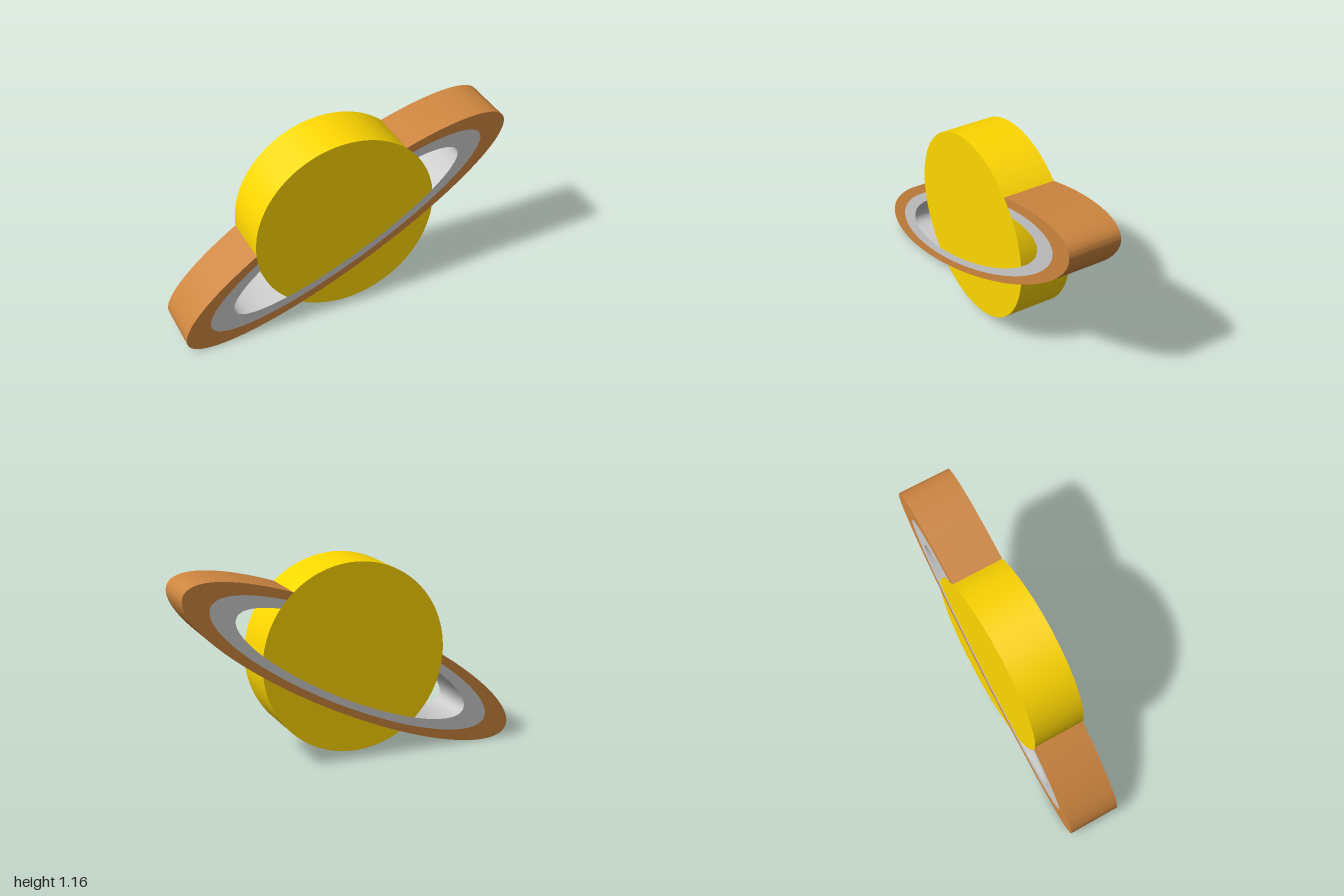
import * as THREE from 'three';
import { toCreasedNormals } from 'three/addons/utils/BufferGeometryUtils.js';

const DEPTH = 0.314;
const DISC = { y: 0.605, r: 0.555 };
const RING = { y: 0.5585, a: 1.11, b: 0.281, tilt: 0.466 };
const OUTER = 1, MIDDLE = 0.85, INNER = 0.705; // scales of the three ring ellipses
const HALF = Math.PI / 2;

// Point on a tilted ring ellipse of scale k
function ringPoint(k, t) {
  return new THREE.Vector2(k * RING.a * Math.cos(t), k * RING.b * Math.sin(t))
    .rotateAround(new THREE.Vector2(), RING.tilt)
    .add(new THREE.Vector2(0, RING.y));
}

// Ellipse angle where the ring crosses the disc edge, in quadrant q (0 to 3)
function crossing(k, q) {
  let [inside, outside] = q % 2 ? [q, q + 1] : [q + 1, q];
  for (let i = 0; i < 40; i++) {
    const m = (inside + outside) / 2;
    const p = ringPoint(k, m * HALF);
    if (Math.hypot(p.x, p.y - DISC.y) < DISC.r) inside = m;
    else outside = m;
  }
  return inside * HALF;
}

// Arcs leave out their last point, so that they chain into closed outlines
function ringArc(k, t0, t1, n) {
  return Array.from({ length: n }, (_, i) => ringPoint(k, t0 + (t1 - t0) * i / n));
}

function discArc(p, q, n, ccw) {
  const angle = (v) => Math.atan2(v.y - DISC.y, v.x);
  const a0 = angle(p);
  let d = angle(q) - a0;
  if (ccw && d < 0) d += 2 * Math.PI;
  if (!ccw) d = Math.atan2(Math.sin(d), Math.cos(d)); // shortest way round
  return Array.from({ length: n }, (_, i) => new THREE.Vector2(
    DISC.r * Math.cos(a0 + d * i / n), DISC.y + DISC.r * Math.sin(a0 + d * i / n)));
}

function slab(name, outline, color) {
  const geometry = new THREE.ExtrudeGeometry(new THREE.Shape(outline), { depth: DEPTH, bevelEnabled: false });
  geometry.translate(0, 0, -DEPTH / 2);
  const mesh = new THREE.Mesh(toCreasedNormals(geometry, 0.6), new THREE.MeshStandardMaterial({ color }));
  mesh.name = name;
  return mesh;
}

// Ring band between two ellipses, interrupted where it passes behind the disc
function bandOutline(k0, k1) {
  const [r0, l0, r1, l1] = [crossing(k0, 0), crossing(k0, 1), crossing(k1, 0), crossing(k1, 1)];
  const full = 2 * Math.PI;
  return [
    ...ringArc(k0, r0, l0 - full, 160),
    ...discArc(ringPoint(k0, l0), ringPoint(k1, l1), 6, false),
    ...ringArc(k1, l1 - full, r1, 160),
    ...discArc(ringPoint(k1, r1), ringPoint(k0, r0), 6, false),
  ];
}

// Part of the disc above or below the front of the ring
function discOutline(k, upper) {
  const left = crossing(k, 2), right = crossing(k, 3);
  const [from, to] = upper ? [left, right] : [right, left];
  return [
    ...ringArc(k, from, to, 60),
    ...discArc(ringPoint(k, to), ringPoint(k, from), 96, true),
  ];
}

export function createModel() {
  const model = new THREE.Group();
  model.name = 'ringedPlanet';

  const planet = new THREE.Group();
  planet.name = 'planet';
  planet.add(
    slab('planetUpper', discOutline(INNER, true), 0xffd700),
    slab('planetLower', discOutline(OUTER, false), 0xffd700),
  );

  const rings = new THREE.Group();
  rings.name = 'rings';
  rings.add(
    slab('outerRing', bandOutline(OUTER, MIDDLE), 0xcd853f),
    slab('innerRing', bandOutline(MIDDLE, INNER), 0xcccccc),
  );

  model.add(planet, rings);
  return model;
}
